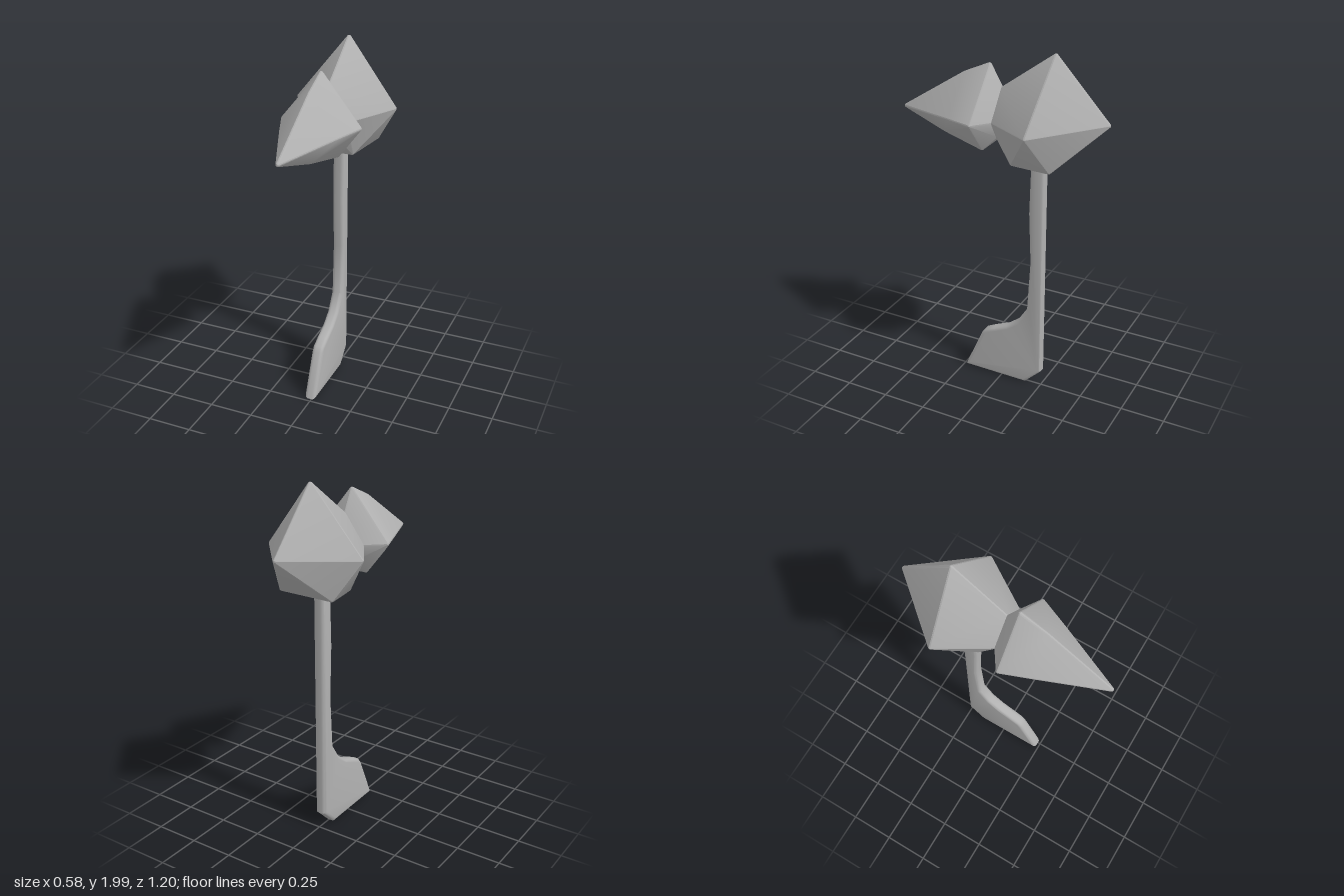
import * as THREE from 'three';
import { toCreasedNormals } from 'three/addons/utils/BufferGeometryUtils.js';
import { ConvexGeometry } from 'three/addons/geometries/ConvexGeometry.js';

// Convex stone with softly rounded edges: a small ball at every corner, wrapped in a hull.
// Corners with x > 0 are mirrored to the other side.
function roundedStone(corners, radius) {
  const ball = new THREE.IcosahedronGeometry(radius, 1).getAttribute('position');
  const points = new Map();
  for (const [cx, cy, cz] of corners) {
    for (const side of cx > 0 ? [1, -1] : [1]) {
      for (let i = 0; i < ball.count; i++) {
        const p = new THREE.Vector3(side * (cx + ball.getX(i)), cy + ball.getY(i), cz + ball.getZ(i));
        points.set(p.toArray().map((v) => v.toFixed(5)).join(), p);
      }
    }
  }
  return toCreasedNormals(new ConvexGeometry([...points.values()]), 0.35);
}

export function createModel() {
  const model = new THREE.Group();
  const grey = new THREE.MeshStandardMaterial({ name: 'stone grey', color: 0xb0b0b0 });

  const add = (name, geometry) => {
    const mesh = new THREE.Mesh(geometry, grey);
    mesh.name = name;
    model.add(mesh);
  };

  // Heavy rear block of the head, narrowing forward to the waist
  add('rearHead', roundedStone([
    [0, 1.985, -0.295],
    [0.278, 1.635, -0.262],
    [0, 1.67, -0.588],
    [0.155, 1.432, -0.34],
    [0.1, 1.412, -0.105],
    [0, 1.77, 0],
    [0.11, 1.62, 0],
    [0.055, 1.53, 0],
  ], 0.012));

  // Pointed front spike, flaring out from the waist
  add('frontSpike', roundedStone([
    [0, 1.77, 0.01],
    [0.11, 1.62, 0.01],
    [0.055, 1.53, 0.01],
    [0, 1.888, 0.075],
    [0.213, 1.625, 0.08],
    [0.09, 1.462, 0.075],
    [0, 1.822, 0.22],
    [0.15, 1.615, 0.235],
    [0.045, 1.508, 0.32],
    [0, 1.585, 0.588],
  ], 0.012));

  // Handle and its widened foot: side outline as (z, y), extruded across x
  const outline = [
    [0.235, 0.008], [0.225, 0.04], [0.13, 0.26], [0.11, 0.288], [0.05, 0.318],
    [-0.03, 0.352], [-0.1, 0.405], [-0.16, 0.5], [-0.177, 0.8], [-0.165, 1.1],
    [-0.175, 1.45], [-0.252, 1.45], [-0.252, 0.1], [-0.155, 0.004],
  ];
  const bevel = 0.02;
  const handle = new THREE.ExtrudeGeometry(
    new THREE.Shape(outline.map(([z, y]) => new THREE.Vector2(z, y))),
    { depth: 0.025, bevelThickness: bevel, bevelSize: bevel, bevelOffset: -bevel, bevelSegments: 4 },
  );
  handle.rotateY(-Math.PI / 2).translate(0.005, 0, 0);
  add('handle', toCreasedNormals(handle, 0.6));

  return model;
}
